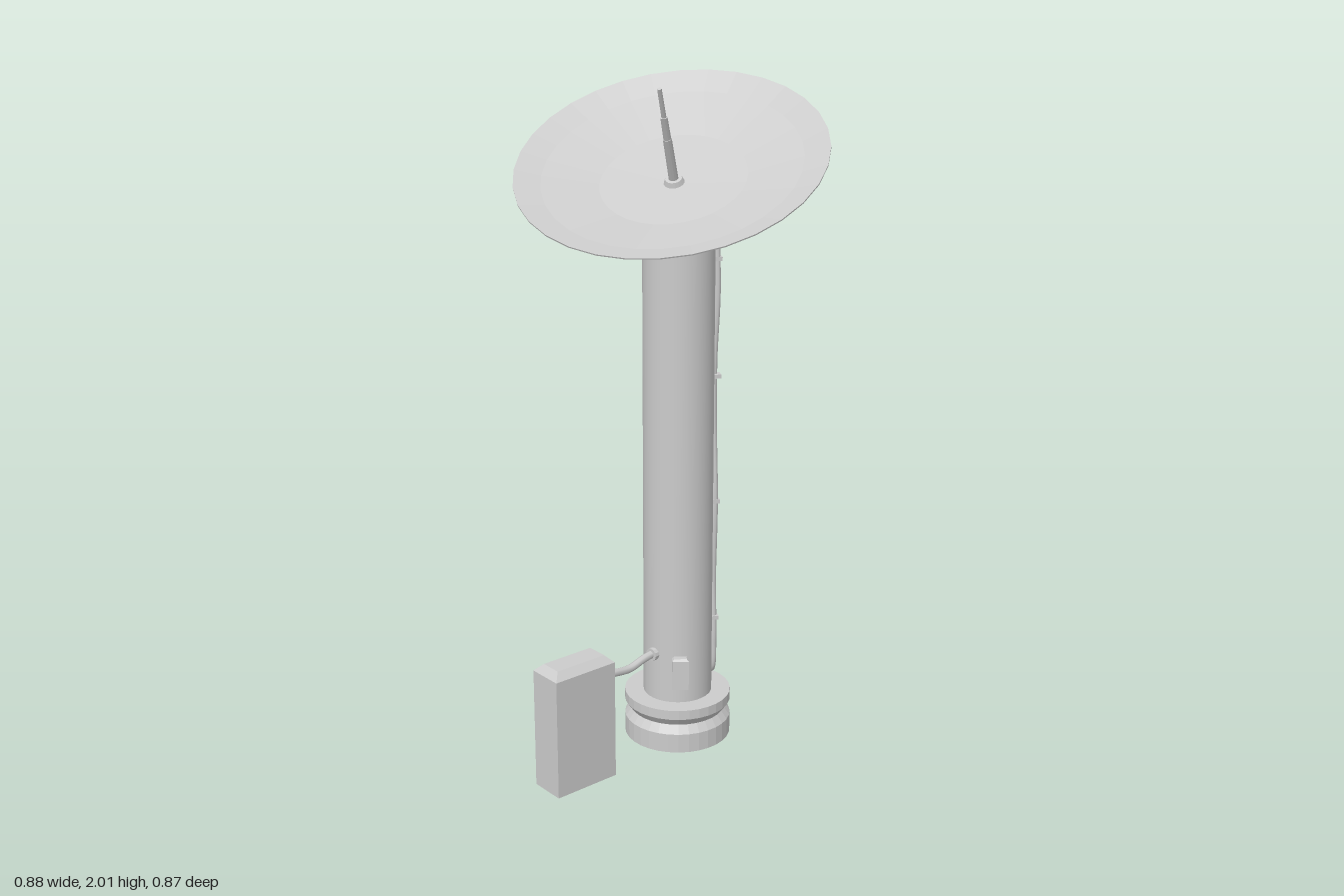
import * as THREE from 'three';

const grey = new THREE.MeshStandardMaterial({ color: 0xcccccc, flatShading: true });
const smooth = new THREE.MeshStandardMaterial({ color: 0xcccccc });
const V = (x, y, z) => new THREE.Vector3(x, y, z);
const UP = V(0, 1, 0);
const AX = 0.1, AZ = -0.033; // column axis

export function createModel() {
  const model = new THREE.Group();

  function add(name, geometry, x = 0, y = 0, z = 0, material = grey, parent = model) {
    const mesh = new THREE.Mesh(geometry, material);
    mesh.name = name;
    mesh.position.set(x, y, z);
    parent.add(mesh);
    return mesh;
  }
  const lathe = (pts, n = 32) => new THREE.LatheGeometry(pts.map(p => new THREE.Vector2(...p)), n);
  // straight round bar between two points
  function bar(name, a, b, r, sides = 6, parent = model) {
    const dir = b.clone().sub(a);
    const mid = a.clone().add(b).multiplyScalar(0.5);
    const mesh = add(name, new THREE.CylinderGeometry(r, r, dir.length(), sides), mid.x, mid.y, mid.z, grey, parent);
    mesh.quaternion.setFromUnitVectors(UP, dir.normalize());
    return mesh;
  }
  const cable = (name, pts, r, n = 80) =>
    add(name, new THREE.TubeGeometry(new THREE.CatmullRomCurve3(pts), n, r, 8), 0, 0, 0, smooth);
  // box whose top edges are chamfered, standing on its own y = 0
  function chamferBox(w, h, d, c) {
    const g = new THREE.BoxGeometry(w, h, d, 1, 2, 1).translate(0, h / 2, 0);
    const p = g.attributes.position;
    for (let i = 0; i < p.count; i++) {
      const y = p.getY(i);
      if (y > h * 0.75) p.setXYZ(i, p.getX(i) * (1 - 2 * c / w), y, p.getZ(i) * (1 - 2 * c / d));
      else if (y > h * 0.25) p.setY(i, h - c);
    }
    return g;
  }

  // Grooved foot, column and top platform
  add('base', lathe([[0, 0.01], [0.163, 0.01], [0.163, 0.07], [0.145, 0.095], [0.163, 0.12], [0.163, 0.15], [0, 0.15]]), AX, 0, AZ);
  add('column', new THREE.CylinderGeometry(0.105, 0.105, 1.46, 32), AX, 0.87, AZ, smooth);
  add('platform', lathe([[0, 1.575], [0.11, 1.578], [0.187, 1.605], [0.187, 1.62], [0, 1.625]]), AX, 0, AZ);
  add('pedestal', new THREE.CylinderGeometry(0.02, 0.04, 0.11, 12), AX, 1.675, AZ);

  // Tilted dish: its local y axis is the aiming direction
  const aim = V(-0.41, 0.888, 0.21).normalize();
  const across = V(0.456, 0, 0.89).normalize();
  const uphill = V().crossVectors(across, aim).normalize();
  const head = new THREE.Group();
  head.name = 'dishAssembly';
  head.position.set(0.065, 1.724, -0.018);
  head.quaternion.setFromRotationMatrix(new THREE.Matrix4().makeBasis(uphill.clone().negate(), aim, across));
  model.add(head);
  add('dish', lathe([
    [0, -0.012], [0.19, -0.004], [0.215, 0.008], [0.37, 0.05], [0.4435, 0.083],
    [0.4435, 0.087], [0.37, 0.06], [0.21, 0.018], [0, 0.002],
  ]), 0, 0, 0, grey, head);

  // Stepped feed antenna
  add('feedFlange', new THREE.CylinderGeometry(0.024, 0.03, 0.014, 16), 0, 0.011, 0, grey, head);
  [[0, 0.15, 0.014], [0.15, 0.22, 0.011], [0.22, 0.31, 0.007]].forEach(([a, b, r]) =>
    add('feedTube', new THREE.CylinderGeometry(r * 0.9, r, b - a, 12), 0, (a + b) / 2, 0, grey, head));

  // Open support frame between platform and dish
  const onDish = (s, t) => head.position.clone()
    .addScaledVector(uphill, s * 0.115).addScaledVector(across, t * 0.08).addScaledVector(aim, -0.016);
  const onPlatform = (s, t) => V(AX, 1.622, AZ)
    .addScaledVector(V(0.89, 0, -0.456), s * 0.055).addScaledVector(across, t * 0.05);
  const corners = [[1, 1], [1, -1], [-1, -1], [-1, 1]];
  corners.forEach(([s, t], i) => {
    const [s2, t2] = corners[(i + 1) % 4];
    bar('frameRail', onDish(s, t), onDish(s2, t2), 0.008);
    bar('frameLeg', onDish(s, t), onPlatform(s, t), 0.008);
    bar('frameFoot', onPlatform(s, t), onPlatform(s2, t2), 0.007);
  });
  for (const t of [-1, 1]) bar('frameBrace', onDish(-1, t), onPlatform(1, t), 0.006);

  // Cable up the column, over the platform to the pedestal
  cable('columnCable', [
    V(0.19, 0.22, -0.15), V(0.21, 0.2, -0.1), V(0.217, 0.185, -0.03), V(0.198, 0.2, 0.02), V(0.192, 0.3, 0.032),
    V(0.194, 0.5, 0.026), V(0.19, 0.76, 0.034), V(0.195, 1.0, 0.022), V(0.19, 1.2, 0.026),
    V(0.19, 1.4, 0.036), V(0.19, 1.6, 0.03), V(0.19, 1.66, 0.03), V(0.178, 1.685, 0.005),
    V(0.15, 1.675, -0.015), V(0.11, 1.66, -0.03),
  ], 0.01, 120);
  for (const y of [0.38, 0.76, 1.15, 1.5])
    add('cableClip', new THREE.BoxGeometry(0.028, 0.012, 0.03), 0.192, y, 0.03).rotation.y = -0.6;

  // Small junction boxes on the column
  const rear = add('rearJunctionBox', chamferBox(0.045, 0.085, 0.04, 0.006), 0.2, 0.18, -0.165);
  rear.rotation.y = 0.15;
  bar('rearBoxStub', V(0.16, 0.22, -0.11), V(0.195, 0.22, -0.155), 0.012, 8);
  const front = add('frontJunctionBox', chamferBox(0.05, 0.1, 0.04, 0.006), 0.027, 0.203, 0.048);
  front.rotation.y = -Math.PI / 4;

  // Ground cabinet and its sagging conduit
  const cabinet = add('cabinet', chamferBox(0.212, 0.39, 0.11, 0.022), -0.33, 0, -0.037);
  cabinet.rotation.y = -0.1;
  cable('conduit', [V(-0.235, 0.3, -0.03), V(-0.19, 0.297, -0.03), V(-0.11, 0.286, -0.032), V(-0.05, 0.297, -0.033), V(0.01, 0.303, -0.033)], 0.012, 30);
  for (const [a, b] of [[-0.228, -0.208], [-0.018, 0.002]])
    bar('conduitCollar', V(a, 0.3, -0.032), V(b, 0.3, -0.032), 0.02, 12);

  return model;
}
